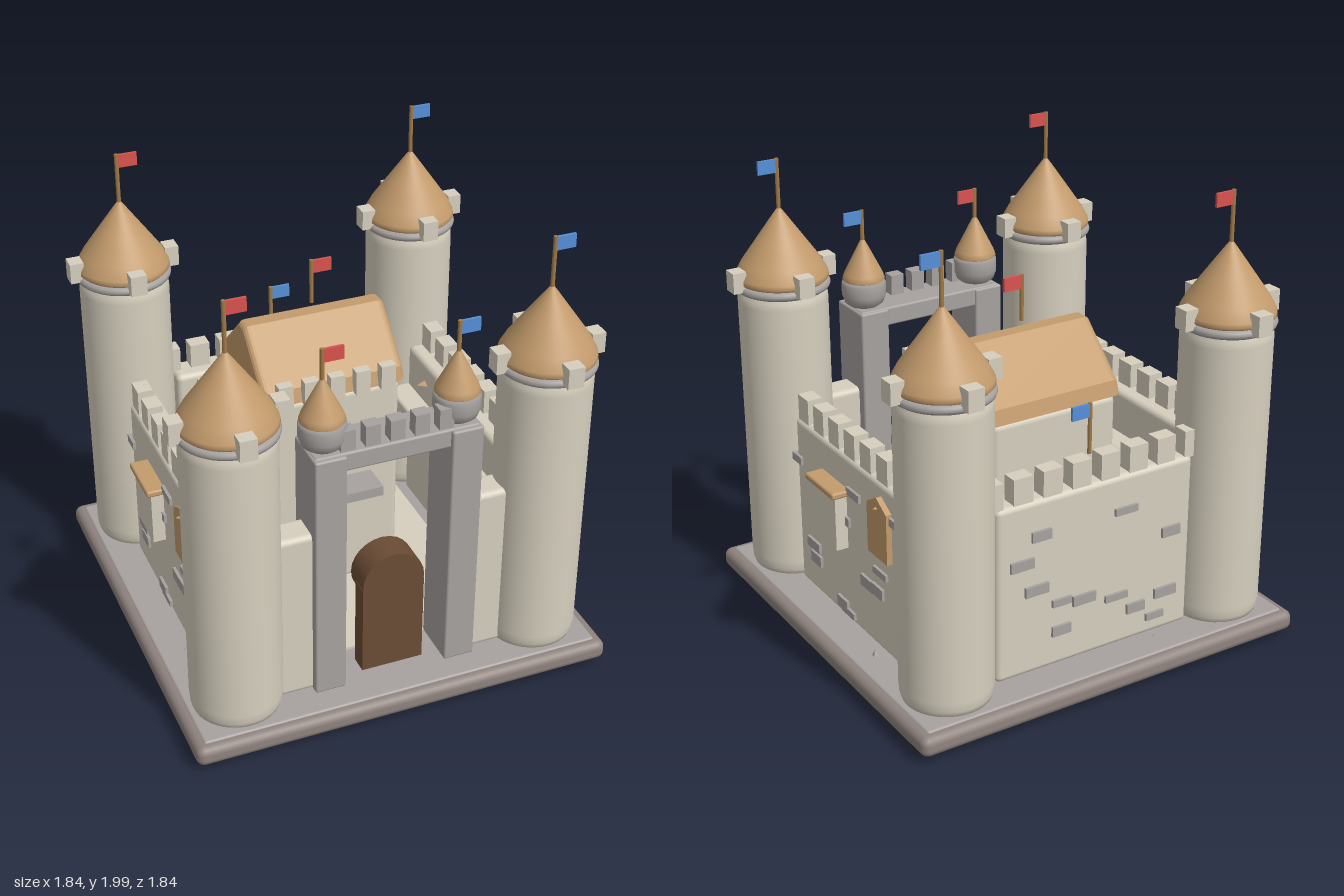
import * as THREE from 'three';
import { RoundedBoxGeometry } from 'three/addons/geometries/RoundedBoxGeometry.js';

const mat = (color, extra = {}) => new THREE.MeshStandardMaterial({ color, ...extra });
const M = {
  wall: mat(0xd6cfbe), grey: mat(0xa7a29f), rim: mat(0x8f837e), roof: mat(0xc39b6c),
  wood: mat(0x6b4c35), pole: mat(0xa07a45), red: mat(0xd9534f), blue: mat(0x5590d8),
  barrel: mat(0xa87f3c), rock: mat(0xa7a29f, { flatShading: true }),
};

export function createModel() {
  const root = new THREE.Group();

  // helpers
  const add = (name, geo, m, x, y, z, parent = root) => {
    const mesh = new THREE.Mesh(geo, m);
    mesh.name = name;
    mesh.position.set(x, y, z);
    parent.add(mesh);
    return mesh;
  };
  const box = (name, m, w, h, d, x, y, z, parent) =>
    add(name, new THREE.BoxGeometry(w, h, d), m, x, y, z, parent);
  const rounded = (name, m, w, h, d, r, x, y, z, parent) =>
    add(name, new RoundedBoxGeometry(w, h, d, 3, r), m, x, y, z, parent);
  const lathe = (name, m, pts, x, y, z, parent, seg = 40) =>
    add(name, new THREE.LatheGeometry(pts.map(p => new THREE.Vector2(...p)), seg), m, x, y, z, parent);
  const group = (name, x = 0, y = 0, z = 0) => {
    const g = new THREE.Group();
    g.name = name;
    g.position.set(x, y, z);
    root.add(g);
    return g;
  };
  const flag = (m, x, y, z, h) => {
    const g = group('flag', x, y, z);
    add('flagPole', new THREE.CylinderGeometry(0.009, 0.009, h, 10), M.pole, 0, h / 2, 0, g);
    box('flagCloth', m, 0.085, 0.058, 0.012, 0.045, h - 0.031, 0, g);
  };

  // base plate, courtyard floor and loose rocks
  rounded('basePlate', M.rim, 1.84, 0.09, 1.84, 0.035, 0, 0.085, 0);
  rounded('baseTop', M.grey, 1.76, 0.03, 1.76, 0.012, 0, 0.122, 0);
  box('courtyardFloor', M.wall, 1.1, 0.02, 1.12, 0, 0.14, 0);
  for (const [x, z, r] of [[0.78, -0.28, 0.05], [-0.28, -0.77, 0.04], [0.78, 0.8, 0.045], [-0.77, 0.3, 0.04]]) {
    const rock = add('rock', new THREE.OctahedronGeometry(r), M.rock, x, 0.085, z);
    rock.scale.y = 1.55;
    rock.rotation.y = x * 5;
  }

  // corner towers
  for (const x of [-0.67, 0.67]) for (const z of [-0.67, 0.67]) {
    const t = group('cornerTower', x, 0, z);
    lathe('towerShaft', M.wall, [[0.001, 0.13], [0.18, 0.13], [0.19, 0.16], [0.193, 0.2], [0.193, 1.39],
      [0.19, 1.42], [0.178, 1.45], [0.17, 1.48], [0.001, 1.48]], 0, 0, 0, t);
    const ring = add('towerRing', new THREE.TorusGeometry(0.185, 0.02, 10, 40), M.grey, 0, 1.455, 0, t);
    ring.rotation.x = Math.PI / 2;
    lathe('towerRoof', M.roof, [[0.001, 1.475], [0.19, 1.475], [0.2, 1.485], [0.197, 1.505], [0.17, 1.555],
      [0.1, 1.655], [0.03, 1.755], [0.001, 1.795]], 0, 0, 0, t);
    for (let i = 0; i < 4; i++) {
      const a = i * Math.PI / 2;
      const m = box('towerMerlon', M.wall, 0.06, 0.09, 0.07, Math.cos(a) * 0.21, 1.5, Math.sin(a) * 0.21, t);
      m.rotation.y = -a;
    }
    flag(x < 0 ? M.red : M.blue, x, 1.77, z, 0.23);
  }

  // curtain wall built along local z, outside facing local +x
  const curtain = (name, angle, merlons, pitch, bricks) => {
    const g = group(name);
    g.rotation.y = angle;
    rounded('wallBody', M.wall, 0.14, 0.78, 0.95, 0.025, 0.665, 0.525, 0, g);
    rounded('wallWalk', M.wall, 0.13, 0.08, 0.94, 0.015, 0.555, 0.68, 0, g);
    for (let i = 0; i < merlons; i++)
      box('wallMerlon', M.wall, 0.068, 0.12, 0.09, 0.69, 0.965, (i - (merlons - 1) / 2) * pitch, g);
    for (const [z, y, w, h] of bricks) box('wallStone', M.grey, 0.03, h, w, 0.733, y, z, g);
    return g;
  };
  const sideStones = [[0.45, 0.73, 0.08, 0.035], [-0.055, 0.77, 0.11, 0.035], [-0.41, 0.785, 0.09, 0.035],
    [0, 0.62, 0.03, 0.04], [0.325, 0.365, 0.11, 0.045], [0.305, 0.305, 0.09, 0.05], [-0.27, 0.505, 0.11, 0.03],
    [-0.16, 0.405, 0.11, 0.05], [-0.245, 0.41, 0.09, 0.05], [0.07, 0.2, 0.09, 0.05], [0.02, 0.18, 0.11, 0.03]];
  const backStones = [[-0.14, 0.76], [0.27, 0.76], [0.29, 0.52], [0.17, 0.43], [0.06, 0.41], [0.17, 0.3],
    [-0.1, 0.37], [-0.2, 0.29], [-0.35, 0.32], [-0.3, 0.22], [0.36, 0.65], [-0.37, 0.6]]
    .map(([z, y], i) => [z, y, i % 2 ? 0.09 : 0.11, i % 3 ? 0.045 : 0.032]);

  // pointed shutter outline
  const shutter = new THREE.Shape([[-0.08, 0], [0.08, 0], [0.08, 0.225], [0, 0.272], [-0.08, 0.225]]
    .map(p => new THREE.Vector2(...p)));
  for (const angle of [0, Math.PI]) {
    const g = curtain(angle ? 'rightWall' : 'leftWall', angle, 7, 0.137, sideStones);
    // bay with awning
    box('bay', M.wall, 0.07, 0.25, 0.205, 0.755, 0.615, 0.12, g);
    rounded('bayAwning', M.roof, 0.1, 0.03, 0.25, 0.01, 0.765, 0.755, 0.115, g);
    // shutter window
    const s = add('shutter', new THREE.ExtrudeGeometry(shutter, { depth: 0.06, bevelEnabled: false }),
      M.roof, 0.7, 0.59, -0.285, g);
    s.rotation.y = Math.PI / 2;
    const peak = add('shutterCanopy', new THREE.OctahedronGeometry(1), M.roof, 0.665, 0.815, -0.285, g);
    peak.scale.set(0.11, 0.045, 0.085);
  }
  curtain('backWall', Math.PI / 2, 8, 0.138, backStones);
  flag(M.blue, 0, 1.02, -0.67, 0.22);

  // gatehouse with short front walls and turrets
  for (const s of [-1, 1]) {
    rounded('frontWall', M.wall, 0.24, 0.78, 0.14, 0.025, s * 0.39, 0.525, 0.665);
    rounded('gatePillar', M.grey, 0.135, 1.14, 0.22, 0.01, s * 0.29, 0.705, 0.66);
    lathe('turretBody', M.grey, [[0.001, 1.275], [0.06, 1.275], [0.085, 1.295], [0.097, 1.33], [0.097, 1.38],
      [0.088, 1.4], [0.001, 1.4]], s * 0.285, 0, 0.66, undefined, 28);
    lathe('turretRoof', M.roof, [[0.001, 1.39], [0.085, 1.39], [0.093, 1.4], [0.085, 1.425], [0.05, 1.495],
      [0.02, 1.555], [0.001, 1.59]], s * 0.285, 0, 0.66, undefined, 28);
    flag(s < 0 ? M.red : M.blue, s * 0.285, 1.56, 0.66, 0.15);
  }
  rounded('gateLintel', M.grey, 0.7, 0.085, 0.19, 0.01, 0, 1.237, 0.655);
  for (let i = -2; i <= 2; i++) box('gateMerlon', M.grey, 0.062, 0.1, 0.055, i * 0.104, 1.32, 0.71);

  // gate door with round head
  box('gateDoor', M.wood, 0.27, 0.41, 0.08, 0, 0.365, 0.69);
  const head = add('doorArch', new THREE.CylinderGeometry(0.135, 0.135, 0.13, 24), M.wood, 0, 0.587, 0.665);
  head.rotation.x = Math.PI / 2;

  // keep with gabled roof
  rounded('keep', M.wall, 0.6, 0.98, 0.52, 0.03, 0, 0.625, -0.17);
  const gable = new THREE.Shape([[-0.235, 0], [0.235, 0], [0.225, 0.025], [0.02, 0.22], [-0.02, 0.22], [-0.225, 0.025]]
    .map(p => new THREE.Vector2(...p)));
  const roof = add('keepRoof', new THREE.ExtrudeGeometry(gable,
    { depth: 0.58, bevelSize: 0.028, bevelThickness: 0.03, bevelSegments: 4 }), M.roof, -0.29, 1.135, -0.17);
  roof.rotation.y = Math.PI / 2;
  for (let i = -2; i <= 2; i++) box('keepMerlon', M.wall, 0.065, 0.11, 0.045, i * 0.115, 1.165, 0.105);
  box('keepCanopy', M.grey, 0.34, 0.045, 0.15, 0, 0.668, 0.155);
  flag(M.red, 0, 1.42, -0.17, 0.2);

  // barrel and crates in the courtyard
  lathe('barrel', M.barrel, [[0.001, 0], [0.045, 0], [0.056, 0.07], [0.045, 0.14], [0.001, 0.14]],
    -0.35, 0.15, 0.52, undefined, 20);
  box('crate', M.barrel, 0.09, 0.09, 0.09, 0.388, 0.195, 0.5);
  box('crate', M.roof, 0.115, 0.11, 0.115, 0.345, 0.205, 0.545);

  return root;
}
